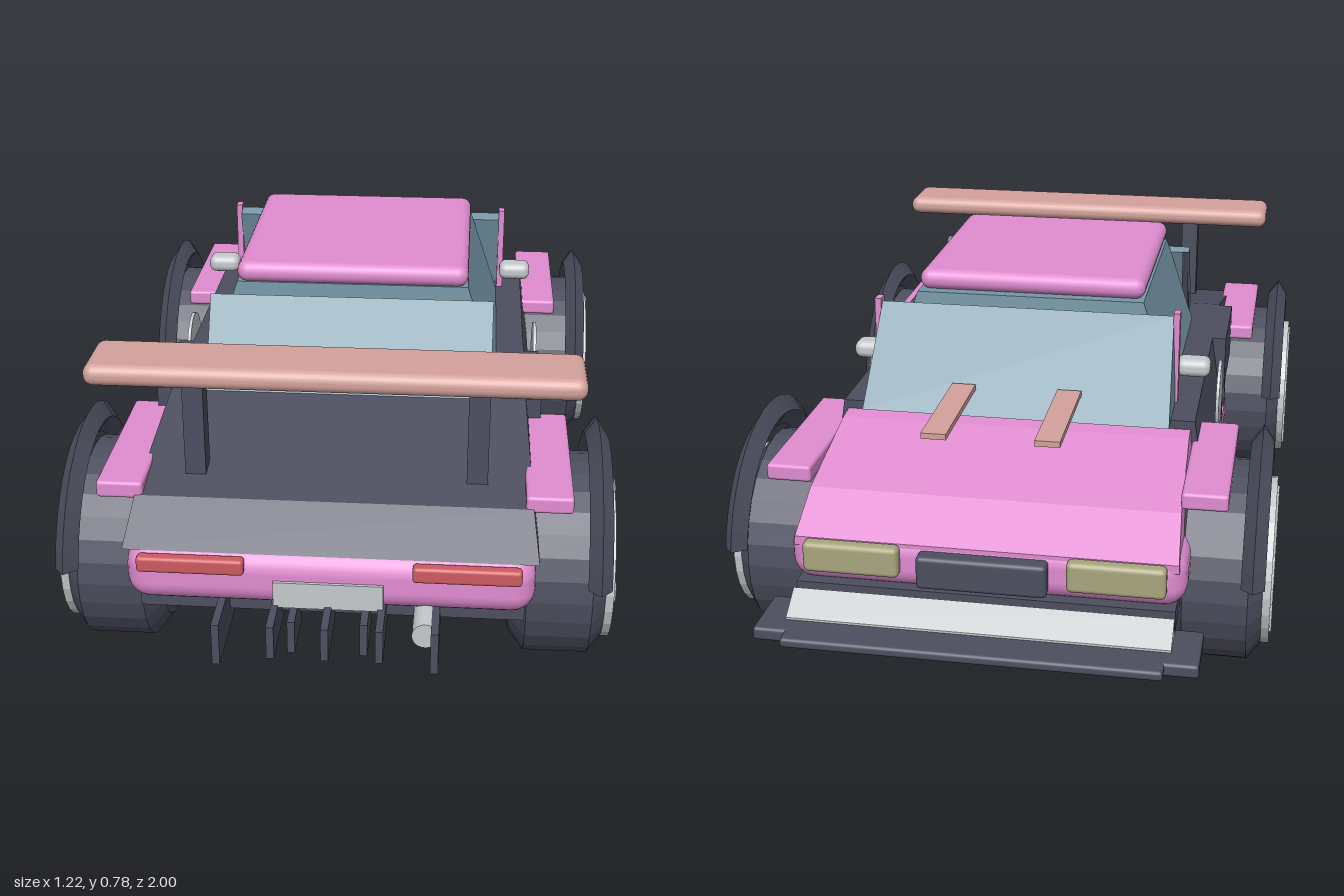
import * as THREE from 'three';
import { RoundedBoxGeometry } from 'three/addons/geometries/RoundedBoxGeometry.js';

export function createModel() {
  const car = new THREE.Group();
  car.name = 'raceCar';
  const mat = (name, color, side = THREE.FrontSide) => {
    const m = new THREE.MeshStandardMaterial({ color, side });
    m.name = name;
    return m;
  };
  const dark = mat('darkSlate', 0x4d4f60, THREE.DoubleSide);
  const pink = mat('pink', 0xe08cd0);
  const glass = mat('blueGlass', 0x7696a6);
  const tan = mat('dustyRose', 0xd4a29c);
  const silver = mat('silver', 0xc6cacc);
  const red = mat('red', 0xcc5a60);
  const khaki = mat('khaki', 0xa8a67e);

  const add = (name, geo, material, parent = car) => {
    const m = new THREE.Mesh(geo, material);
    m.name = name;
    parent.add(m);
    return m;
  };
  // Box given by its limits on each axis; r rounds the edges
  const box = (name, material, [x0, x1], [y0, y1], [z0, z1], r = 0) => {
    const w = x1 - x0, h = y1 - y0, d = z1 - z0;
    const g = r ? new RoundedBoxGeometry(w, h, d, 3, r) : new THREE.BoxGeometry(w, h, d);
    const m = add(name, g, material);
    m.position.set((x0 + x1) / 2, (y0 + y1) / 2, (z0 + z1) / 2);
    return m;
  };
  const pair = (name, material, [x0, x1], y, z, r) => {
    box(name + 'Left', material, [x0, x1], y, z, r);
    box(name + 'Right', material, [-x1, -x0], y, z, r);
  };
  // Side profile in (z, y) swept across the car, tapering from bottom to top half-width
  const prism = (name, material, points, wBottom, wTop = wBottom) => {
    const shape = new THREE.Shape(points.map(([z, y]) => new THREE.Vector2(z, y)));
    const g = new THREE.ExtrudeGeometry(shape, { depth: 2, bevelEnabled: false });
    g.translate(0, 0, -1).rotateY(-Math.PI / 2);
    const ys = points.map(p => p[1]), lo = Math.min(...ys), hi = Math.max(...ys);
    const p = g.attributes.position;
    for (let i = 0; i < p.count; i++) {
      const t = (p.getY(i) - lo) / (hi - lo);
      p.setX(i, p.getX(i) * (wBottom + (wTop - wBottom) * t));
    }
    g.computeVertexNormals();
    return add(name, g, material);
  };
  const faceted = g => {
    const n = g.toNonIndexed();
    n.computeVertexNormals();
    return n;
  };

  // Lower body and floor
  box('floor', dark, [-0.41, 0.41], [0.2, 0.25], [-0.84, 0.85]);
  box('lowerBody', pink, [-0.43, 0.43], [0.24, 0.37], [-0.83, 0.91], 0.05);
  pair('sill', pink, [0.39, 0.44], [0.212, 0.26], [-0.34, 0.4]);
  pair('sillGroove', dark, [0.41, 0.436], [0.262, 0.275], [-0.34, 0.4]);
  for (const z of [0.27, 0.15, -0.06, -0.14, -0.22])
    pair('sideRib', dark, [0.42, 0.442], [0.28, 0.35], [z - 0.008, z + 0.008]);
  pair('doorHandle', silver, [0.42, 0.44], [0.322, 0.34], [0.08, 0.16]);

  // Upper body, rear deck and hood
  prism('upperBody', dark,
    [[0.89, 0.36], [0.8, 0.44], [0.43, 0.515], [-0.44, 0.515], [-0.44, 0.36]], 0.435, 0.41);
  prism('hood', pink,
    [[-0.4, 0.34], [-0.4, 0.5], [-0.48, 0.49], [-0.72, 0.42], [-0.825, 0.35], [-0.825, 0.33]], 0.415, 0.4);
  pair('sidePod', dark, [0.39, 0.445], [0.38, 0.515], [0.14, 0.42]);

  // Round door badges
  for (const s of [1, -1]) {
    const g = new THREE.CylinderGeometry(0.09, 0.09, 0.008, 32).rotateZ(Math.PI / 2);
    const m = add('doorBadge', g, silver);
    m.scale.z = 0.9;
    m.position.set(s * 0.442, 0.425, -0.035);
  }

  // Cabin glass and roof
  prism('sideWindows', glass, [[0.3, 0.51], [0.29, 0.735], [-0.27, 0.735], [-0.29, 0.51]], 0.345, 0.27);
  prism('windshield', glass, [[-0.34, 0.51], [-0.28, 0.71], [-0.31, 0.72], [-0.48, 0.51]], 0.355, 0.345);
  prism('rearWindow', glass, [[0.43, 0.51], [0.31, 0.71], [0.29, 0.7], [0.37, 0.51]], 0.33);
  for (const s of [1, -1]) {
    const m = box('rearPillar', dark, [s * 0.32 - 0.008, s * 0.32 + 0.008], [0.5, 0.71], [0.325, 0.345]);
    m.rotation.x = -0.35;
  }
  box('roof', pink, [-0.27, 0.27], [0.733, 0.783], [-0.255, 0.3], 0.024);
  pair('frontPillar', pink, [0.345, 0.36], [0.51, 0.73], [-0.325, -0.295]);
  pair('mirror', silver, [0.35, 0.43], [0.56, 0.603], [-0.285, -0.225], 0.018);
  pair('hoodStrip', tan, [0.095, 0.15], [0.56, 0.573], [-0.74, -0.44]);

  // Rear wing
  box('wing', tan, [-0.52, 0.52], [0.682, 0.73], [0.632, 0.792], 0.022);
  pair('wingPost', dark, [0.28, 0.325], [0.44, 0.69], [0.675, 0.725]);

  // Tail details
  pair('tailLight', red, [0.175, 0.4], [0.324, 0.36], [0.895, 0.923], 0.008);
  box('rearPlate', silver, [-0.115, 0.115], [0.25, 0.31], [0.908, 0.917]);
  for (const x of [-0.225, -0.112, 0, 0.112, 0.225])
    box('diffuserFin', dark, [x - 0.008, x + 0.008], [Math.abs(x) > 0.2 ? 0.16 : 0.18, 0.255], [0.8, 1]);
  pair('smallFin', dark, [0.068, 0.084], [0.155, 0.23], [0.82, 0.94]);
  const pipe = add('exhaust', new THREE.CylinderGeometry(0.028, 0.028, 0.12, 20).rotateX(Math.PI / 2), silver);
  pipe.position.set(0.205, 0.23, 0.91);

  // Nose details
  box('splitter', dark, [-0.47, 0.47], [0.17, 0.2], [-0.965, -0.82], 0.008);
  box('splitterLip', dark, [-0.4, 0.4], [0.178, 0.2], [-1, -0.95], 0.008);
  prism('splitterBlade', silver, [[-0.85, 0.2], [-0.86, 0.245], [-0.92, 0.205], [-0.92, 0.2]], 0.41);
  pair('headlight', khaki, [0.18, 0.39], [0.28, 0.35], [-0.855, -0.82], 0.012);
  box('grille', dark, [-0.14, 0.14], [0.265, 0.34], [-0.862, -0.82], 0.01);

  // Wheels with arches and flares
  const tyreProfile = [[0.001, -0.105], [0.178, -0.105], [0.225, -0.07], [0.225, 0.07],
    [0.182, 0.105], [0.165, 0.09], [0.001, 0.09]].map(p => new THREE.Vector2(...p));
  const tyreGeo = faceted(new THREE.LatheGeometry(tyreProfile, 28).rotateZ(-Math.PI / 2));
  const ringProfile = [[0.162, 0.085], [0.188, 0.085], [0.188, 0.118], [0.162, 0.118], [0.162, 0.085]]
    .map(p => new THREE.Vector2(...p));
  const ringGeo = faceted(new THREE.LatheGeometry(ringProfile, 28).rotateZ(-Math.PI / 2));
  const discGeo = new THREE.CylinderGeometry(0.122, 0.122, 0.03, 28).rotateZ(-Math.PI / 2);
  const start = 0.22;
  const archGeo = faceted(new THREE.TorusGeometry(0.268, 0.036, 4, 18, Math.PI - 2 * start)
    .rotateZ(start).rotateY(-Math.PI / 2).scale(0.7, 1, 1));
  for (const s of [1, -1]) for (const [label, z] of [['rear', 0.595], ['front', -0.52]]) {
    const wheel = new THREE.Group();
    wheel.name = label + 'Wheel' + (s > 0 ? 'Left' : 'Right');
    wheel.position.set(s * 0.485, 0.225, z);
    if (s < 0) wheel.rotation.y = Math.PI;
    car.add(wheel);
    add('tyre', tyreGeo, dark, wheel);
    add('rimRing', ringGeo, silver, wheel);
    add('hubDisc', discGeo, tan, wheel).position.x = 0.088;
    add('spokeUpright', new THREE.BoxGeometry(0.025, 0.35, 0.036), silver, wheel).position.x = 0.11;
    add('spokeLevel', new THREE.BoxGeometry(0.025, 0.036, 0.35), silver, wheel).position.x = 0.11;
    add(label + 'Arch', archGeo, dark).position.set(s * 0.565, 0.225, z);
    const x = s * 0.455;
    box(label + 'Flare', pink, [x - 0.05, x + 0.05], [0.43, 0.468], [z - 0.205, z + 0.205], 0.008);
  }
  return car;
}
